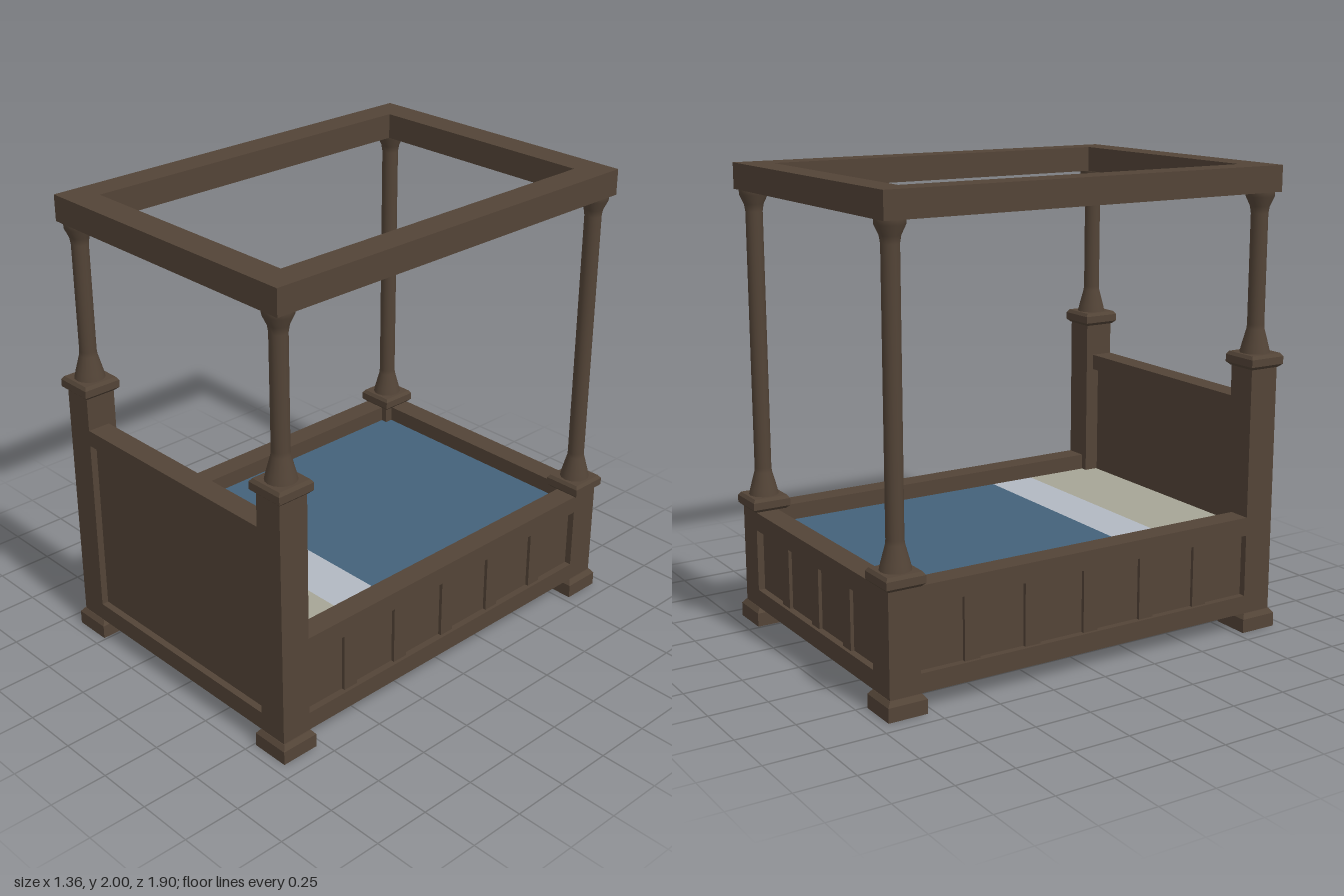
import * as THREE from 'three';

const wood = new THREE.MeshStandardMaterial({ color: 0x534437 });
wood.name = 'darkWood';
const blue = new THREE.MeshStandardMaterial({ color: 0x44627a, side: THREE.DoubleSide });
blue.name = 'blueBlanket';
const pale = new THREE.MeshStandardMaterial({ color: 0xb2b8c2, side: THREE.DoubleSide });
pale.name = 'paleSheet';
const beige = new THREE.MeshStandardMaterial({ color: 0xa6a596, side: THREE.DoubleSide });
beige.name = 'beigePillow';

const POST_X = 0.595, POST_Z = 0.867, POST_W = 0.13, RAIL_T = 0.1;

function add(parent, name, geometry, material, x = 0, y = 0, z = 0) {
  const mesh = new THREE.Mesh(geometry, material);
  mesh.name = name;
  mesh.position.set(x, y, z);
  parent.add(mesh);
  return mesh;
}

function box(parent, name, w, h, d, x, y, z) {
  return add(parent, name, new THREE.BoxGeometry(w, h, d), wood, x, y, z);
}

// Four-sided moulding from a profile of [half width, height]
function squareTurned(profile) {
  const points = profile.map(([r, y]) => new THREE.Vector2(r * Math.SQRT2, y));
  const g = new THREE.LatheGeometry(points, 4, Math.PI / 4).toNonIndexed();
  g.computeVertexNormals();
  return g;
}

// Framed board along x with a recessed panel and upright battens, seen from both faces
function framedBoard(name, length, top, railHeight, battens) {
  const board = new THREE.Group();
  board.name = name;
  const low = 0.08, panelLow = 0.16, panelTop = top - railHeight;
  const h = panelTop - panelLow, mid = (panelTop + panelLow) / 2;
  box(board, 'bottomRail', length, panelLow - low, RAIL_T, 0, (low + panelLow) / 2, 0);
  box(board, 'topRail', length, railHeight, RAIL_T, 0, top - railHeight / 2, 0);
  box(board, 'panel', length, h, 0.04, 0, mid, 0);
  for (let i = 0; i < battens; i++) {
    box(board, 'batten', 0.07, h, 0.07, (i - (battens - 1) / 2) * 0.28, mid, 0);
  }
  return board;
}

// Corner post: hollow foot, square shaft, moulded cap and round flared column
function cornerPost(name, shaftTop) {
  const post = new THREE.Group();
  post.name = name;
  add(post, 'foot', squareTurned([
    [0, 0.04], [0.035, 0.04], [0.055, 0.015], [0.07, 0], [0.085, 0],
    [0.085, 0.06], [0.07, 0.08], [0, 0.08],
  ]), wood);
  box(post, 'shaft', POST_W, shaftTop - 0.08, 0.136, 0, (shaftTop + 0.08) / 2, 0);
  add(post, 'cap', squareTurned([
    [0, 0], [0.07, 0], [0.085, 0.014], [0.085, 0.046], [0.075, 0.06], [0, 0.06],
  ]), wood, 0, shaftTop, 0);
  const base = shaftTop + 0.06;
  const profile = [
    [0.064, base], [0.057, base + 0.03], [0.038, base + 0.1],
    [0.036, base + 0.12], [0.036, 1.8], [0.041, 1.83], [0.06, 1.87], [0.06, 1.89],
  ].map(([r, y]) => new THREE.Vector2(r, y));
  add(post, 'column', new THREE.LatheGeometry(profile, 16), wood);
  return post;
}

// Flat strip of bedding between two z positions
function bedding(parent, name, material, z0, z1) {
  const g = new THREE.PlaneGeometry(1.18, z1 - z0).rotateX(-Math.PI / 2);
  add(parent, name, g, material, 0, 0.442, (z0 + z1) / 2);
}

export function createModel() {
  const bed = new THREE.Group();
  bed.name = 'fourPosterBed';

  // Posts, taller shafts at the head
  for (const sx of [-1, 1]) {
    const head = cornerPost('headPost', 1.155);
    head.position.set(sx * POST_X, 0, POST_Z);
    const foot = cornerPost('footPost', 0.512);
    foot.position.set(sx * POST_X, 0, -POST_Z);
    bed.add(head, foot);
  }

  // Headboard and footboard
  const acrossX = 2 * POST_X - POST_W;
  const outerZ = POST_Z + 0.068 - RAIL_T / 2;
  const headboard = framedBoard('headboard', acrossX, 1.01, 0.07, 0);
  headboard.position.z = outerZ;
  const footboard = framedBoard('footboard', acrossX, 0.512, 0.08, 3);
  footboard.position.z = -outerZ;
  bed.add(headboard, footboard);

  // Side rails
  for (const sx of [-1, 1]) {
    const side = framedBoard('sideRail', 2 * POST_Z - 0.136, 0.512, 0.08, 5);
    side.rotation.y = Math.PI / 2;
    side.position.x = sx * (POST_X + POST_W / 2 - RAIL_T / 2);
    bed.add(side);
  }

  // Canopy frame
  const frame = new THREE.Shape([
    [-0.66, -0.927], [0.66, -0.927], [0.66, 0.927], [-0.66, 0.927],
  ].map(([x, y]) => new THREE.Vector2(x, y)));
  frame.holes.push(new THREE.Path([
    [-0.534, -0.798], [-0.534, 0.798], [0.534, 0.798], [0.534, -0.798],
  ].map(([x, y]) => new THREE.Vector2(x, y))));
  const canopy = new THREE.ExtrudeGeometry(frame, { depth: 0.11, bevelEnabled: false });
  canopy.rotateX(-Math.PI / 2);
  add(bed, 'canopyFrame', canopy, wood, 0, 1.89, 0);

  // Bedding
  bedding(bed, 'blanket', blue, -0.86, 0.288);
  bedding(bed, 'foldedSheet', pale, 0.288, 0.5);
  bedding(bed, 'pillow', beige, 0.5, 0.86);

  return bed;
}
